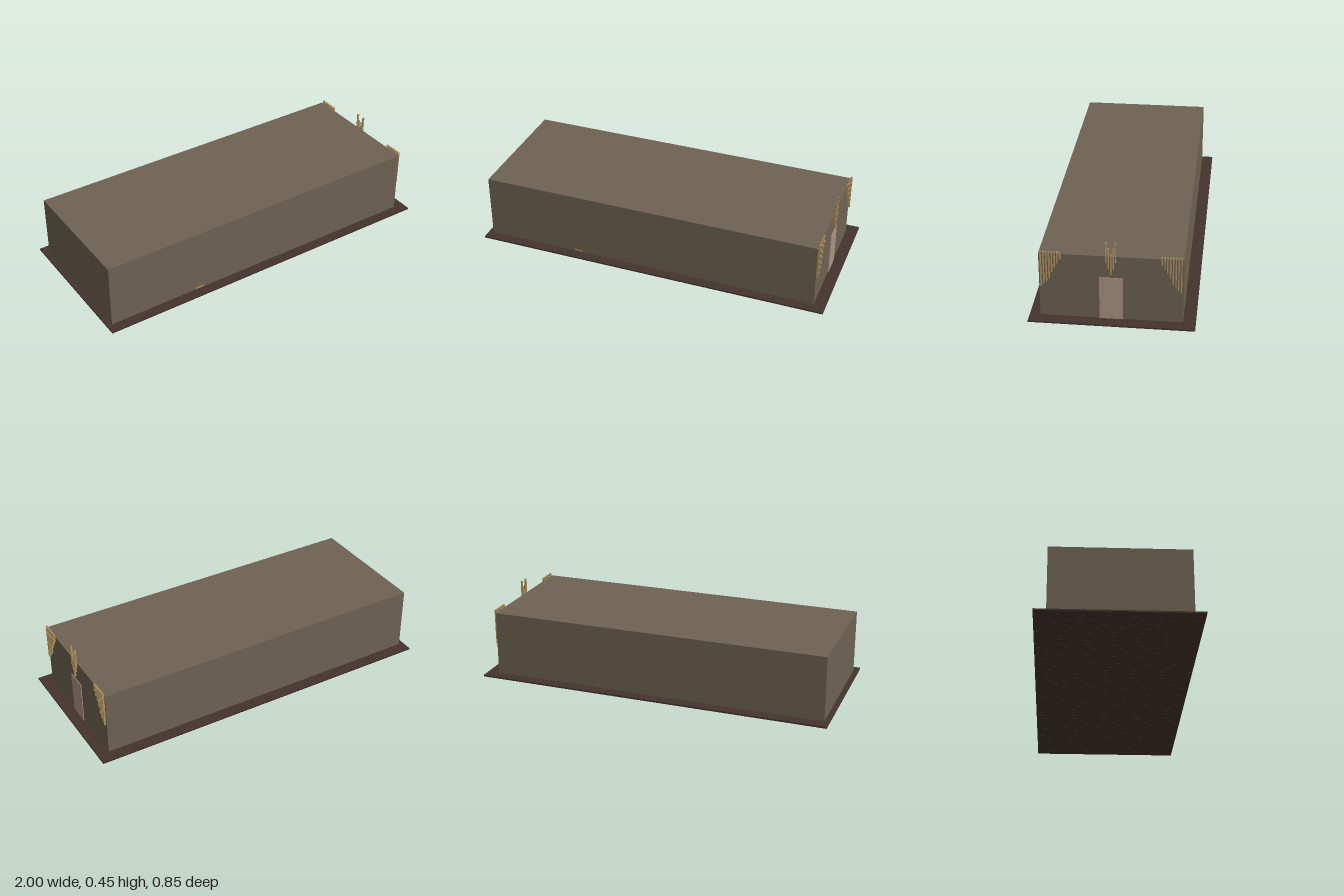
import * as THREE from 'three';

const material = (color) => new THREE.MeshStandardMaterial({ color, flatShading: true });

export function createModel() {
  const model = new THREE.Group();
  model.name = 'longhouse';
  const wall = material(0x6e6252);
  const plank = material(0x44342d);
  const wood = material(0xb3935f);
  const doorPaint = material(0xae9384);
  const midZ = 0.005; // centre line of the house

  // Box given by its limits on each axis
  function block(parent, name, mat, [x0, x1], [y0, y1], [z0, z1]) {
    const mesh = new THREE.Mesh(new THREE.BoxGeometry(x1 - x0, y1 - y0, z1 - z0), mat);
    mesh.position.set((x0 + x1) / 2, (y0 + y1) / 2, (z0 + z1) / 2);
    mesh.name = name;
    parent.add(mesh);
  }

  // Deck of narrow planks laid across the length, with fine gaps
  const deck = new THREE.Group();
  deck.name = 'deck';
  const count = 43, pitch = 2 / count, gap = 0.001;
  for (let i = 0; i < count; i++) {
    const x = -1 + i * pitch;
    const start = i === 0 ? x : x + gap / 2;
    const end = i === count - 1 ? x + pitch : x + pitch - gap / 2;
    block(deck, 'plank', plank, [start, end], [0, 0.009], [-0.424, 0.424]);
  }
  model.add(deck);

  // House body, door and small sill strip
  block(model, 'house', wall, [-0.972, 0.936], [0.009, 0.371], [midZ - 0.364, midZ + 0.364]);
  block(model, 'door', doorPaint, [0.93, 0.94], [0.009, 0.249], [midZ - 0.06, midZ + 0.06]);
  block(model, 'sillStrip', wood, [-0.456, -0.404], [0.012, 0.021], [0.36, 0.37]);

  // Upright slats on the door end
  const slats = new THREE.Group();
  slats.name = 'slats';
  const slat = (z, bottom, top) =>
    block(slats, 'slat', wood, [0.936, 0.947], [bottom, top], [midZ + z - 0.003, midZ + z + 0.003]);

  // Corner fans, shortening towards the middle
  const bottoms = [0.184, 0.2, 0.213, 0.234, 0.271, 0.299, 0.322, 0.343];
  for (const side of [-1, 1]) {
    bottoms.forEach((bottom, i) => slat(side * (0.353 - i * 0.014), bottom, 0.386));
  }

  // V-shaped crest above the door
  for (let i = -2; i <= 2; i++) {
    const rise = Math.abs(i) * 0.035;
    slat(i * 0.012, 0.271 + rise, 0.384 + rise);
  }
  model.add(slats);
  return model;
}
